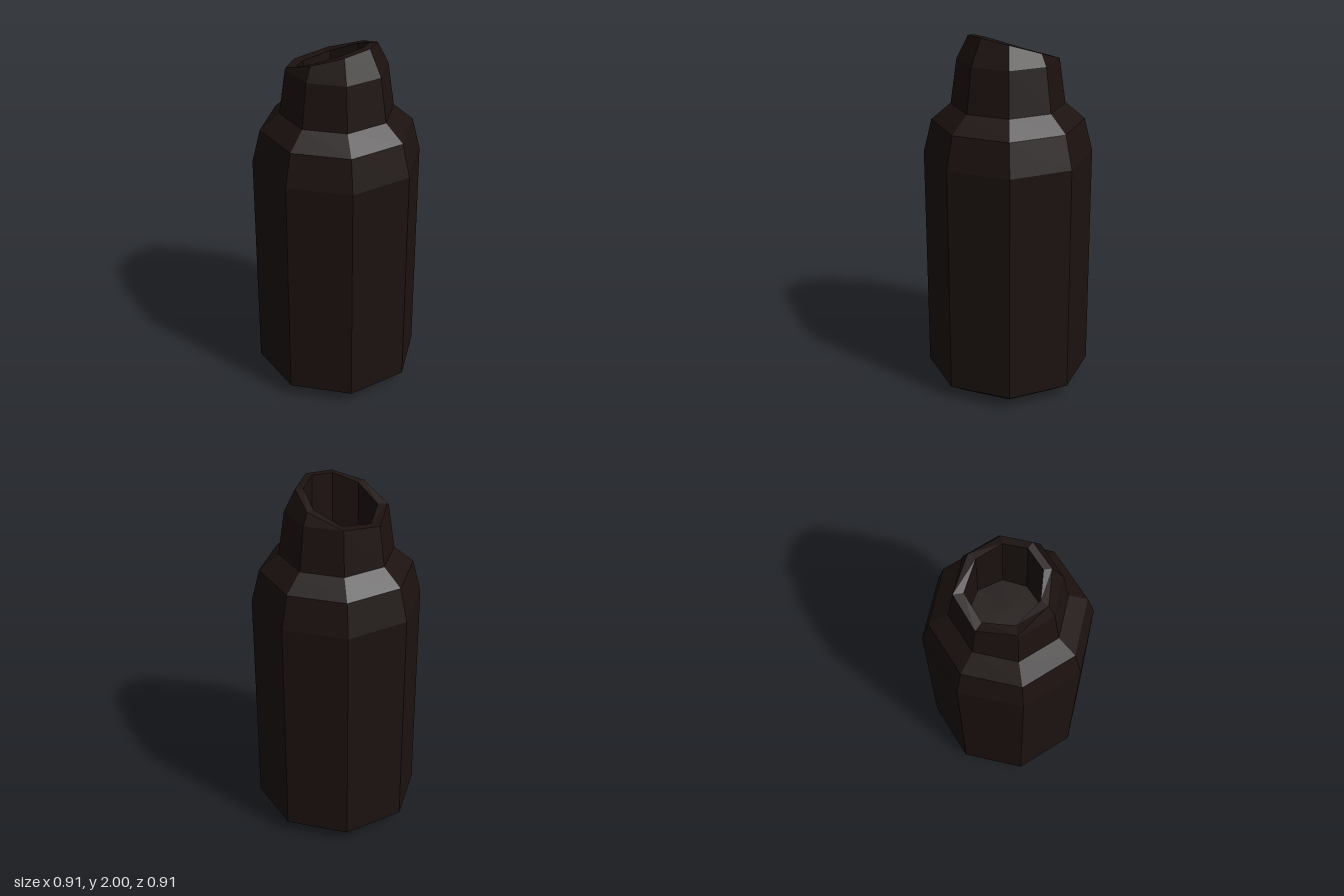
import * as THREE from 'three';

const SIDES = 8;
const NECK_Y = 1.62, BEND_Y = 1.86, WELL_Y = 1.55;

// Neck radius at a height: gentle taper, then a steeper lip above the bend.
const neckRadius = y =>
  y < BEND_Y ? 0.305 - 0.146 * (y - NECK_Y) : 0.27 - 0.5 * (y - BEND_Y);

// Height where the slanted cut meets the neck in a given direction.
function cutHeight(sin, cos) {
  let y = 1.93;
  for (let i = 0; i < 15; i++) y = 1.93 + neckRadius(y) * (0.22 * sin + 0.26 * cos);
  return y;
}

const lathe = points =>
  new THREE.LatheGeometry(points.map(([r, y]) => new THREE.Vector2(r, y)), SIDES);

export function createModel() {
  const group = new THREE.Group();
  group.name = 'bottle';
  const material = new THREE.MeshStandardMaterial({ color: 0x1c1210, flatShading: true });

  const add = (name, geometry) => {
    const mesh = new THREE.Mesh(geometry, material);
    mesh.name = name;
    group.add(mesh);
  };

  // Body with bevelled base and stepped shoulder
  add('body', lathe([
    [0, 0], [0.34, 0], [0.455, 0.075], [0.455, 1.35], [0.41, 1.53], [0.305, NECK_Y],
  ]));

  // Neck: base, bend, outer rim, inner rim, well wall, well floor
  const rings = 6;
  const neck = lathe([
    [0.305, NECK_Y], [0.27, BEND_Y], [0.23, 1.93], [0.19, 1.93], [0.19, WELL_Y], [0, WELL_Y],
  ]);
  const pos = neck.attributes.position;
  for (let i = 0; i <= SIDES; i++) {
    const a = (i / SIDES) * Math.PI * 2, sin = Math.sin(a), cos = Math.cos(a);
    const top = cutHeight(sin, cos), bend = Math.min(BEND_Y, top);
    const outer = neckRadius(top), inner = outer * 0.8;
    [[neckRadius(bend), bend], [outer, top], [inner, top], [inner, WELL_Y]].forEach(([r, y], k) =>
      pos.setXYZ(i * rings + k + 1, r * sin, y, r * cos));
  }
  neck.computeVertexNormals();
  add('neck', neck);

  return group;
}
